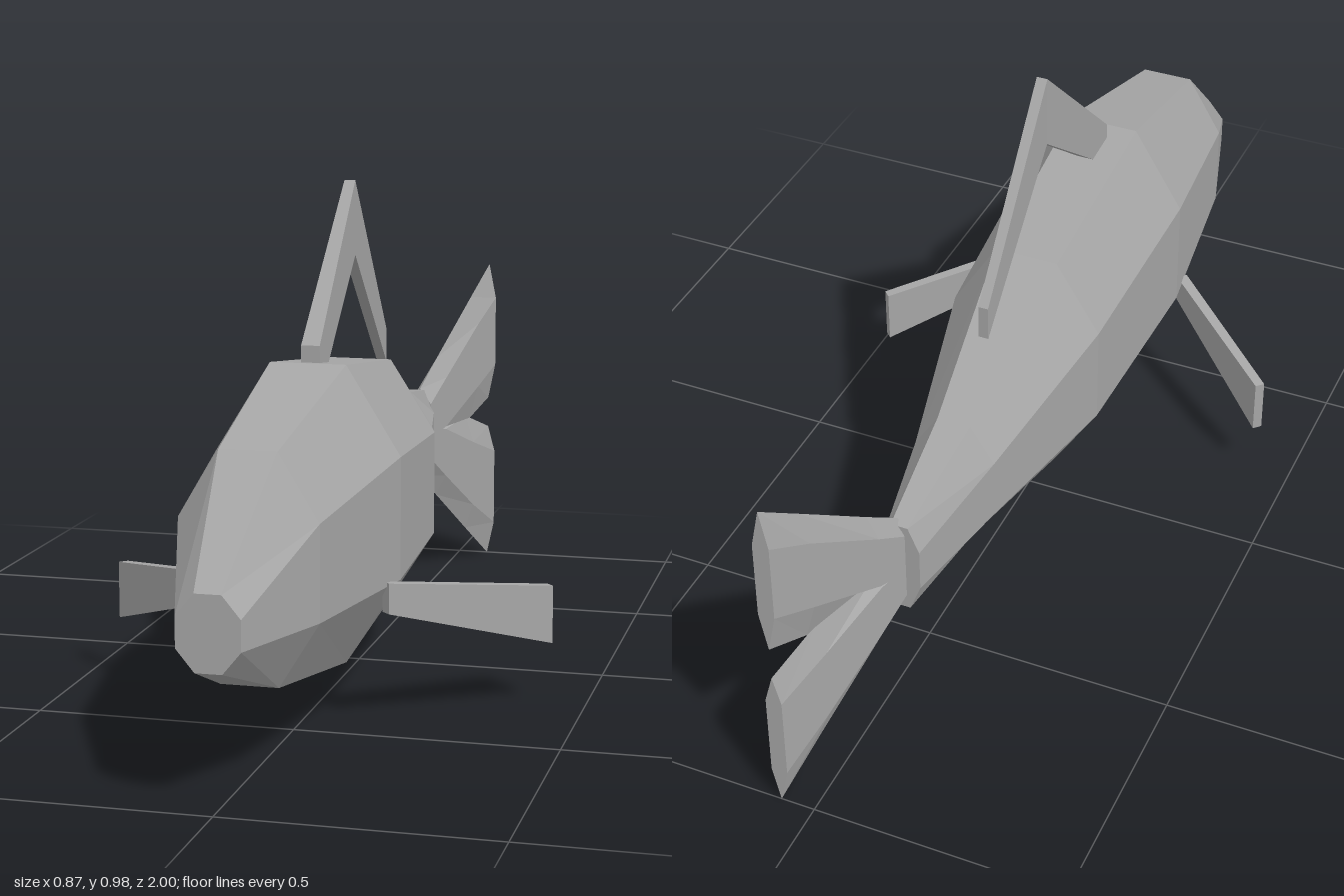
import * as THREE from 'three';

const grey = new THREE.MeshStandardMaterial({ color: 0xa6a6a6, flatShading: true });
grey.name = 'grey';

// Skin a row of matching point loops, close both ends, and face every triangle outward
function loft(name, sections) {
  const tris = [];
  const n = sections[0].length;
  for (let s = 0; s < sections.length - 1; s++) {
    const a = sections[s], b = sections[s + 1];
    for (let i = 0; i < n; i++) {
      const j = (i + 1) % n;
      tris.push([a[i], a[j], b[j]], [a[i], b[j], b[i]]);
    }
  }
  const first = sections[0], last = sections[sections.length - 1];
  for (let i = 1; i < n - 1; i++) {
    tris.push([first[0], first[i + 1], first[i]], [last[0], last[i], last[i + 1]]);
  }
  let volume = 0;
  for (const [a, b, c] of tris) {
    volume += new THREE.Vector3(...a).dot(new THREE.Vector3(...b).cross(new THREE.Vector3(...c)));
  }
  if (volume < 0) tris.forEach((t) => t.reverse());
  const geometry = new THREE.BufferGeometry();
  geometry.setAttribute('position', new THREE.Float32BufferAttribute(tris.flat(2), 3));
  geometry.computeVertexNormals();
  const mesh = new THREE.Mesh(geometry, grey);
  mesh.name = name;
  return mesh;
}

// Octagonal body ring
const bodyRing = ([z, cx, halfTop, halfSide, top, upper, lower, bottom]) => [
  [cx + halfTop, top, z], [cx + halfSide, upper, z], [cx + halfSide, lower, z], [cx + halfTop, bottom, z],
  [cx - halfTop, bottom, z], [cx - halfSide, lower, z], [cx - halfSide, upper, z], [cx - halfTop, top, z],
];

// Six-sided tail ring: sharp ridges at both ends, broad flanks between
const tailRing = ([z, cx, half, tip, flankOuter, flankInner, inner]) => [
  [cx, tip, z], [cx + half, flankOuter, z], [cx + half, flankInner, z],
  [cx, inner, z], [cx - half, flankInner, z], [cx - half, flankOuter, z],
];

// Four-sided fin ring with thickness along (dx, dz)
const finRing = (x, z, top, bottom, dx, dz) => [
  [x + dx, top, z + dz], [x + dx, bottom, z + dz], [x - dx, bottom, z - dz], [x - dx, top, z - dz],
];

export function createModel() {
  const fish = new THREE.Group();
  fish.name = 'fish';

  // Body, nose to tail: z, centre x, half widths, then heights from top to bottom
  fish.add(loft('body', [
    [1.0, -0.005, 0.024, 0.057, 0.38, 0.34, 0.285, 0.245],
    [0.77, -0.003, 0.053, 0.127, 0.577, 0.455, 0.28, 0.16],
    [0.39, 0, 0.073, 0.177, 0.67, 0.502, 0.27, 0.104],
    [-0.04, -0.01, 0.065, 0.156, 0.615, 0.47, 0.263, 0.12],
    [-0.42, -0.025, 0.034, 0.082, 0.485, 0.41, 0.285, 0.213],
    [-0.685, -0.036, 0.017, 0.039, 0.445, 0.393, 0.307, 0.25],
  ].map(bodyRing)));

  // Forked tail, bent toward the left
  fish.add(loft('upperTailLobe', [
    [-0.67, -0.026, 0.025, 0.45, 0.415, 0.335, 0.33],
    [-0.75, -0.005, 0.023, 0.51, 0.465, 0.351, 0.349],
    [-0.91, 0.041, 0.019, 0.632, 0.57, 0.42, 0.345],
    [-1.0, 0.067, 0.016, 0.70, 0.62, 0.46, 0.38],
  ].map(tailRing)));
  fish.add(loft('lowerTailLobe', [
    [-0.67, -0.026, 0.025, 0.25, 0.29, 0.355, 0.36],
    [-0.75, -0.005, 0.023, 0.189, 0.235, 0.345, 0.352],
    [-0.89, 0.035, 0.019, 0.083, 0.14, 0.29, 0.352],
    [-1.0, 0.067, 0.016, 0.0, 0.075, 0.25, 0.31],
  ].map(tailRing)));

  // Bent dorsal fin
  fish.add(loft('dorsalFin', [
    finRing(-0.006, 0.35, 0.697, 0.6, 0.018, 0),
    finRing(-0.009, 0.04, 0.98, 0.833, 0.011, 0),
    finRing(-0.018, -0.265, 0.645, 0.575, 0.01, 0),
  ]));

  // Swept side fins
  for (const [side, name, tipZ] of [[1, 'leftFin', 0.205], [-1, 'rightFin', 0.222]]) {
    fish.add(loft(name, [
      finRing(side * 0.165, 0.457, 0.28, 0.222, side * 0.008, 0.008),
      finRing(side * 0.427, tipZ, 0.231, 0.118, side * 0.007, 0.007),
    ]));
  }
  return fish;
}
